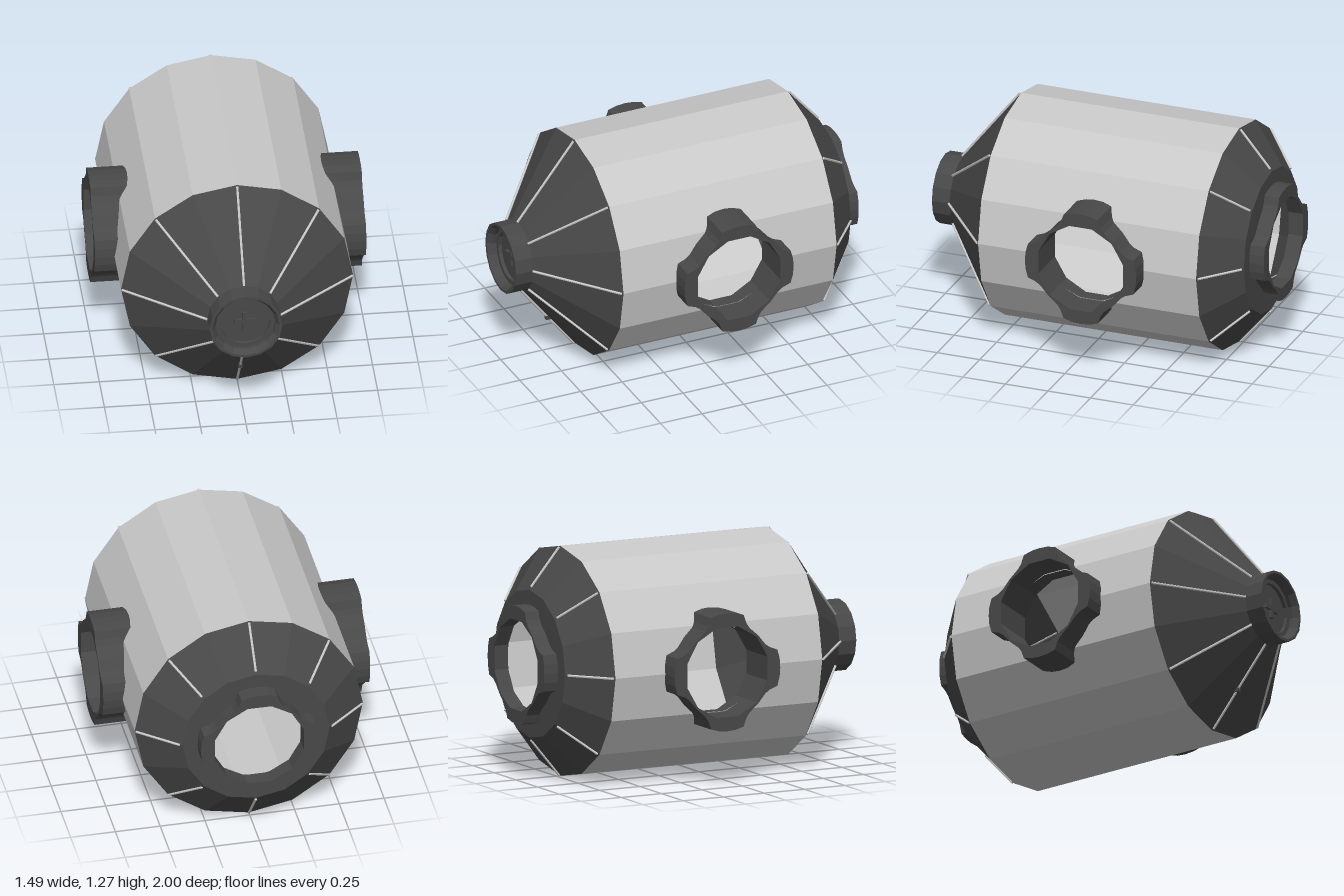
import * as THREE from 'three';

const SIDES = 16, R = 0.637, CY = 0.637;     // hull sides, radius and axis height
const Z0 = -0.725, Z1 = 0.555, PORT_Z = -0.09;

const mat = (name, color) => {
  const m = new THREE.MeshStandardMaterial({ color, flatShading: true, side: THREE.DoubleSide });
  m.name = name;
  return m;
};

export function createModel() {
  const light = mat('light grey', 0xc8c8c8);
  const dark = mat('dark grey', 0x484848);
  const model = new THREE.Group();
  const body = new THREE.Group();
  body.name = 'module';
  body.position.y = CY;
  model.add(body);

  const add = (name, geo, material, parent = body) => {
    const m = new THREE.Mesh(geo, material);
    m.name = name;
    parent.add(m);
    return m;
  };
  const polar = (r, a) => new THREE.Vector2(r * Math.cos(a), r * Math.sin(a));
  const deg = Math.PI / 180;

  // Hull: flat panels, the four beside the ports have a half-round notch
  const hull = new THREE.Group();
  hull.name = 'hull';
  body.add(hull);
  const panelHeight = R * Math.sin(Math.PI / 8);
  for (let i = 0; i < SIDES; i++) {
    const pts = [[-Z0, 0], [-Z0, 1], [-Z1, 1], [-Z1, 0]];
    if (i % 8 === 0 || i % 8 === 7) {
      pts.push([-PORT_Z - 0.25, 0]);
      for (let a = 165; a > 0; a -= 30) {
        const p = polar(0.259, a * deg);
        pts.push([-PORT_Z + p.x, Math.min(p.y / panelHeight, 0.995)]);
      }
      pts.push([-PORT_Z + 0.25, 0]);
    }
    const flip = i % 8 === 7;
    const geo = new THREE.ShapeGeometry(new THREE.Shape(
      pts.map(([u, t]) => new THREE.Vector2(u, flip ? 1 - t : t))));
    const a = polar(R, i * Math.PI / 8), b = polar(R, (i + 1) * Math.PI / 8);
    const pos = geo.attributes.position;
    for (let k = 0; k < pos.count; k++) {
      const p = a.clone().lerp(b, pos.getY(k));
      pos.setXYZ(k, p.x, p.y, -pos.getX(k));
    }
    geo.computeVertexNormals();
    add('hullPanel', geo, light, hull);
  }

  // End cones, turned about the long axis from [radius, z] profiles
  const turned = (name, profile) => {
    const geo = new THREE.LatheGeometry(profile.map(([r, z]) => new THREE.Vector2(r, z)), SIDES);
    add(name, geo.rotateX(Math.PI / 2), dark);
  };
  turned('frontCone', [[R, Z1], [0.2, 0.895]]);
  turned('frontCollar', [[0.2, 0.895], [0.2, 1], [0.185, 1], [0.165, 0.97],
    [0.165, 0.95], [0.14, 0.95], [0.14, 0.93], [0, 0.93]]);
  turned('backCone', [[0.258, -0.915], [0.41, -0.915], [R, Z0]]);

  // Raised cross on the front hatch
  add('hatchCross', new THREE.BoxGeometry(0.115, 0.024, 0.02), dark).position.z = 0.935;
  add('hatchCross', new THREE.BoxGeometry(0.024, 0.115, 0.02), dark).position.z = 0.935;

  // Docking rings: thin twelve-sided tube with four lugs
  const outline = [];
  for (let q = 0; q < 4; q++) {
    for (const [a, r] of [[-24, 0.288], [-18, 0.325], [-9, 0.327], [0, 0.327], [9, 0.327],
      [18, 0.325], [24, 0.288], [30, 0.272], [45, 0.268], [60, 0.272]]) {
      outline.push(polar(r, (q * 90 + a) * deg));
    }
  }
  const ringShape = new THREE.Shape(outline);
  ringShape.holes.push(new THREE.Path(
    Array.from({ length: 12 }, (_, i) => polar(0.257, (15 - i * 30) * deg))));
  const ring = (name, depth) =>
    add(name, new THREE.ExtrudeGeometry(ringShape, { depth, bevelEnabled: false }), dark);
  ring('backPort', 0.085).position.z = -1;
  for (const s of [1, -1]) {
    const port = ring(s > 0 ? 'leftPort' : 'rightPort', 0.245);
    port.rotation.y = s * Math.PI / 2;
    port.position.set(s * 0.5, 0, PORT_Z);
  }

  // Handrails running down both cones
  const rail = (name, a, r0, z0, r1, z1) => {
    const p = polar(r0, a), q = polar(r1, a);
    const from = new THREE.Vector3(p.x, p.y, z0), to = new THREE.Vector3(q.x, q.y, z1);
    const dir = to.clone().sub(from);
    const m = add(name, new THREE.CylinderGeometry(0.007, 0.007, dir.length(), 6), light);
    m.position.copy(from).add(to).multiplyScalar(0.5);
    m.quaternion.setFromUnitVectors(new THREE.Vector3(0, 1, 0), dir.normalize());
  };
  for (let i = 0; i < 8; i++) {
    const a = i * Math.PI / 4;
    rail('frontRail', a, 0.632, Z1 + 0.008, 0.203, 0.9);
    rail('backRail', a, 0.632, Z0 - 0.008, 0.425, -0.907);
  }

  // Small fitting on the lower front rail
  add('railFitting', new THREE.BoxGeometry(0.022, 0.022, 0.03), dark).position.set(0, -0.437, 0.715);

  return model;
}
